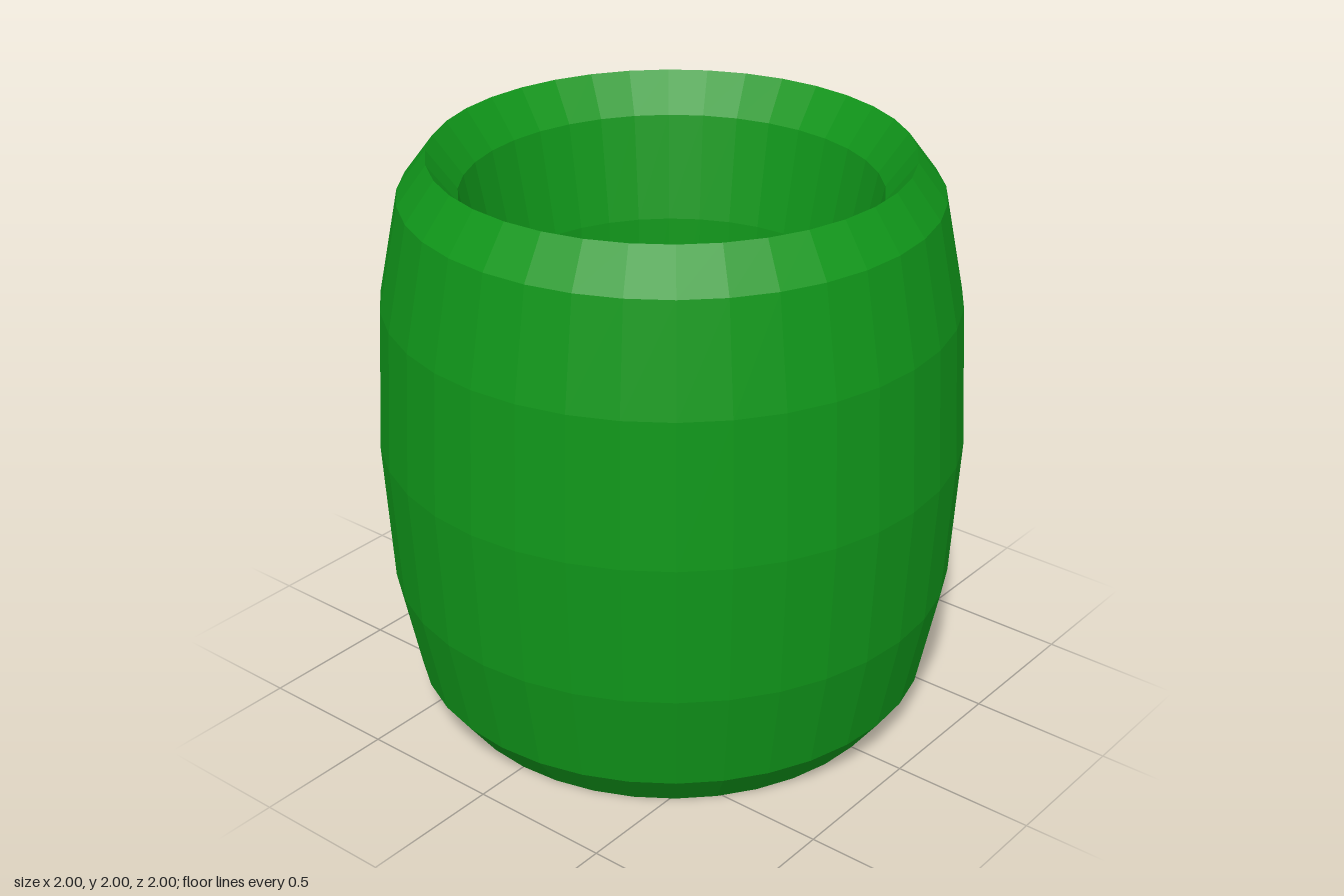
import * as THREE from 'three';

export function createModel() {
  const group = new THREE.Group();
  group.name = 'barrelBead';

  // Barrel-shaped ring: a low-poly torus stretched along its upright axis
  const geometry = new THREE.TorusGeometry(0.8, 0.2, 12, 36);
  geometry.rotateX(Math.PI / 2);
  geometry.scale(1, 5, 1);
  geometry.translate(0, 1, 0);
  const flat = geometry.toNonIndexed();
  flat.computeVertexNormals();

  const material = new THREE.MeshStandardMaterial({ color: 0x10961a, flatShading: true });
  const ring = new THREE.Mesh(flat, material);
  ring.name = 'ring';
  group.add(ring);
  return group;
}
